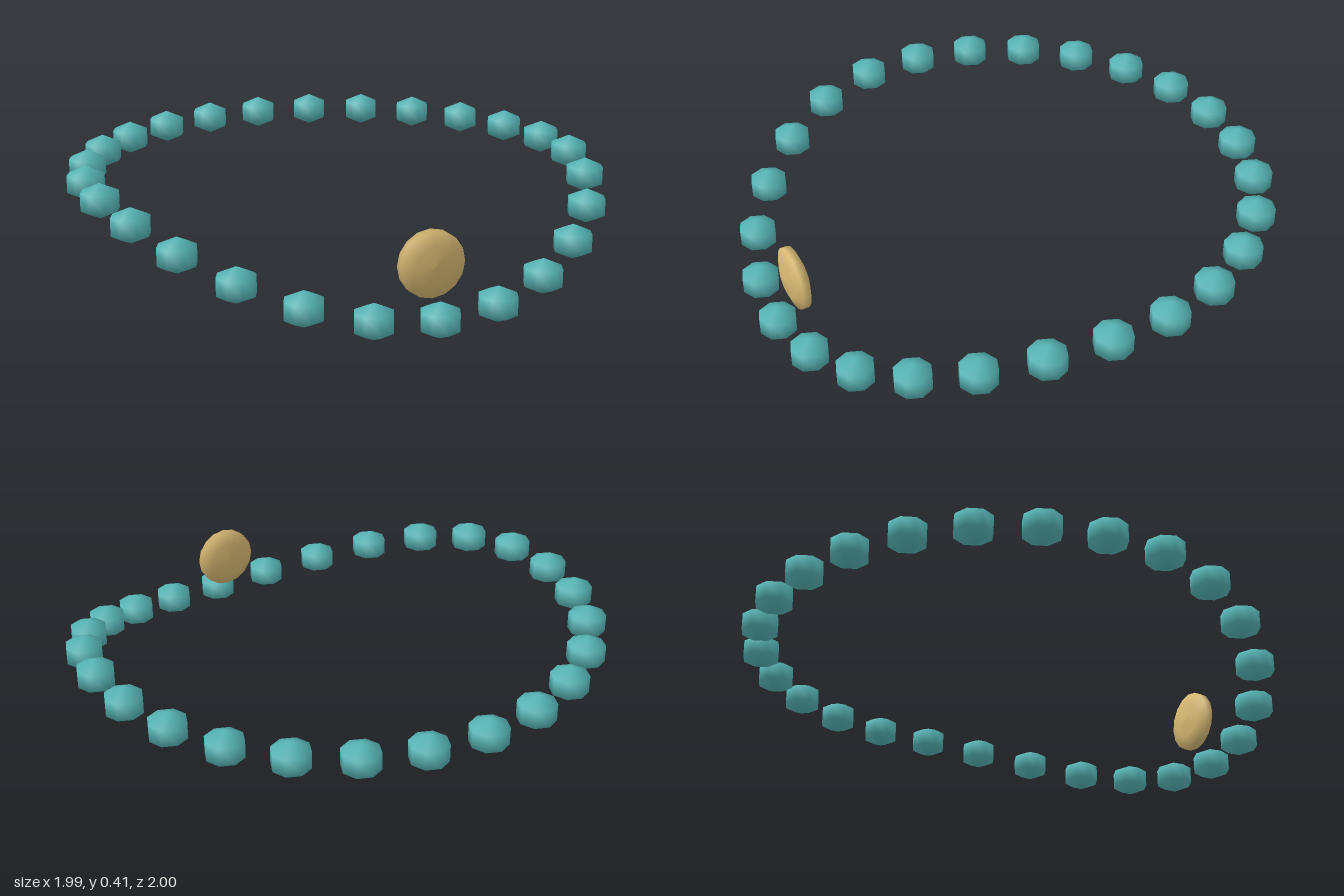
import * as THREE from 'three';

const BEADS = 26;
const RING = 0.931;   // radius of the ring of beads
const TOP = 0.343;    // height of the level back half
const DROP = 0.279;   // how far the front dips

export function createModel() {
  const model = new THREE.Group();
  model.name = 'beadNecklace';

  const teal = new THREE.MeshStandardMaterial({ color: 0x56b4b4 });
  teal.name = 'teal';
  const gold = new THREE.MeshStandardMaterial({ color: 0xd6b872 });
  gold.name = 'gold';

  // Ring of faceted beads, level at the back and sagging toward the front
  const beads = new THREE.Group();
  beads.name = 'beads';
  const beadGeometry = new THREE.SphereGeometry(0.08, 8, 3);
  beadGeometry.scale(1, 0.8, 1);
  for (let i = 0; i < BEADS; i++) {
    const a = (i / BEADS) * Math.PI * 2;
    const forward = Math.max(0, Math.cos(a));
    const bead = new THREE.Mesh(beadGeometry, teal);
    bead.name = `bead${i + 1}`;
    bead.position.set(Math.sin(a) * RING, TOP - DROP * forward * forward, Math.cos(a) * RING);
    beads.add(bead);
  }
  model.add(beads);

  // Domed disc pendant standing upright behind the front bead
  const profile = [
    [0, -0.038], [0.068, -0.031], [0.116, -0.014],
    [0.116, 0.014], [0.068, 0.031], [0, 0.038],
  ].map(([r, y]) => new THREE.Vector2(r, y));
  const pendantGeometry = new THREE.LatheGeometry(profile, 16);
  pendantGeometry.rotateX(Math.PI / 2);
  const pendant = new THREE.Mesh(pendantGeometry, gold);
  pendant.name = 'pendant';
  pendant.position.set(0, 0.232, 0.852);
  model.add(pendant);

  return model;
}
